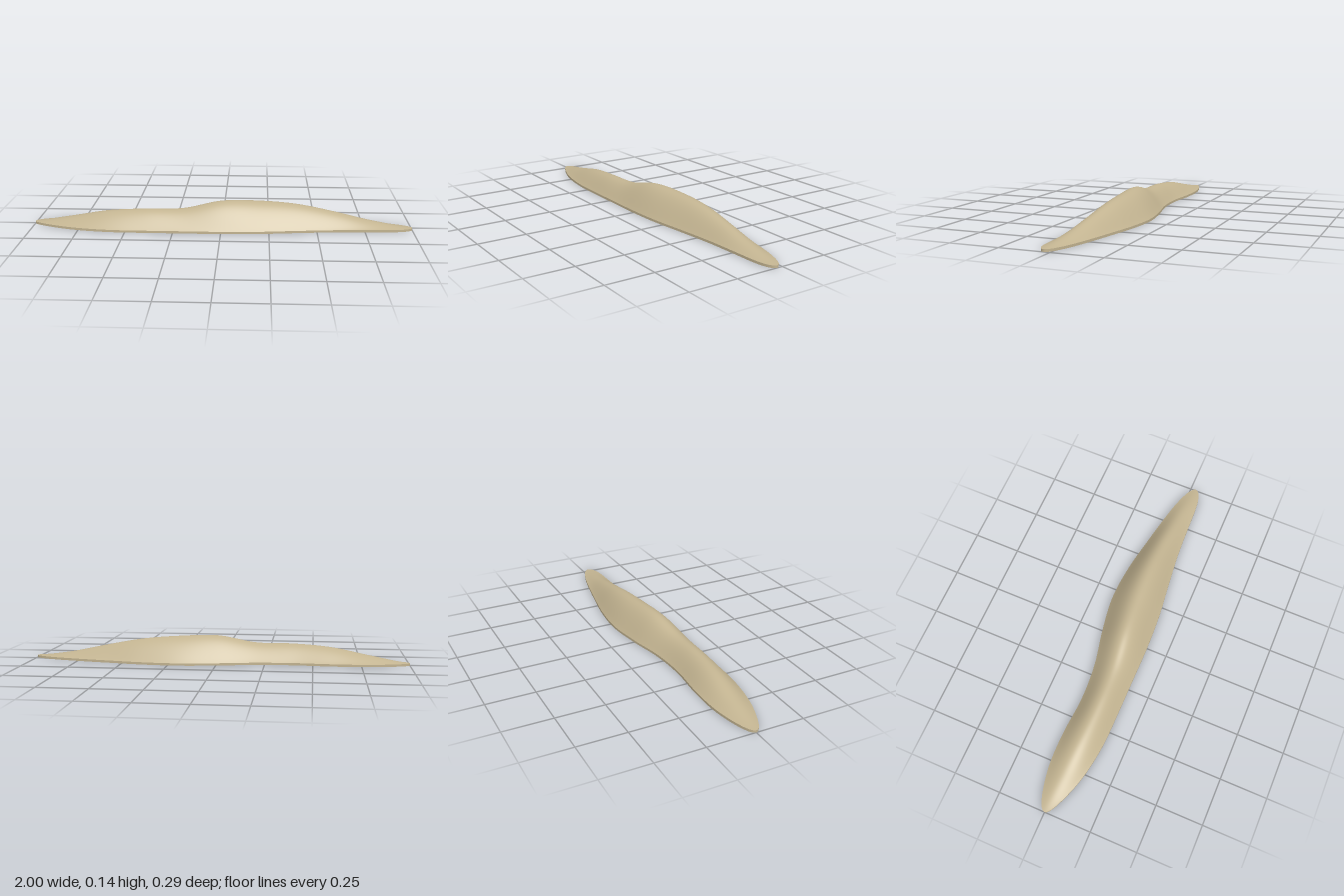
import * as THREE from 'three';

// Stations at equal steps from x = -1 to x = 1
const CENTRE = [0, 0.0125, 0.0265, 0.036, 0.03, 0.01, -0.008, -0.013, -0.0055, 0.01, 0.03];
const WIDTH = [0.125, 0.1425, 0.133, 0.1125, 0.112, 0.13, 0.141, 0.131, 0.1155, 0.1125, 0.125];
const RIDGE = [0, 0.033, 0.071, 0.086, 0.09, 0.127, 0.124, 0.107, 0.07, 0.027, 0];
const RIM = 0.012;
const LENGTH_STEPS = 120;
const CROSS_STEPS = 32;

// Smooth interpolation of station values
function smooth(values) {
  const curve = new THREE.SplineCurve(values.map((v, i) => new THREE.Vector2(i, v)));
  return (x) => curve.getPoint((x + 1) / 2).y;
}

// Grid surface from a rule (u, v) => [x, y, z]
function surface(rule, nu, nv) {
  const positions = [], index = [];
  for (let i = 0; i <= nu; i++) {
    for (let j = 0; j <= nv; j++) positions.push(...rule(i / nu, j / nv));
  }
  for (let i = 0; i < nu; i++) {
    for (let j = 0; j < nv; j++) {
      const a = i * (nv + 1) + j, b = a + nv + 1;
      index.push(a, a + 1, b, b, a + 1, b + 1);
    }
  }
  const geometry = new THREE.BufferGeometry();
  geometry.setAttribute('position', new THREE.Float32BufferAttribute(positions, 3));
  geometry.setIndex(index);
  geometry.computeVertexNormals();
  return geometry;
}

export function createModel() {
  const group = new THREE.Group();
  group.name = 'sandDune';
  const sand = new THREE.MeshStandardMaterial({ color: 0xc3b491 });
  sand.name = 'sand';

  const centre = smooth(CENTRE), width = smooth(WIDTH), ridge = smooth(RIDGE);
  const along = (u) => -Math.cos(Math.PI * u);
  const half = (x) => width(x) * Math.sqrt(Math.max(0, 1 - x * x));
  const add = (name, geometry) => {
    const mesh = new THREE.Mesh(geometry, sand);
    mesh.name = name;
    group.add(mesh);
  };

  // Rounded ridge falling to the rim on both sides
  add('duneTop', surface((u, v) => {
    const x = along(u), t = v * 2 - 1;
    const fall = Math.pow(Math.max(0, Math.cos(t * Math.PI / 2)), 1.08);
    return [x, RIM + ridge(x) * fall, centre(x) + half(x) * t];
  }, LENGTH_STEPS, CROSS_STEPS));

  // Thin upright rim, front and back
  add('frontRim', surface((u, v) => {
    const x = along(u);
    return [x, RIM * (1 - v), centre(x) + half(x)];
  }, LENGTH_STEPS, 1));
  add('backRim', surface((u, v) => {
    const x = along(u);
    return [x, RIM * v, centre(x) - half(x)];
  }, LENGTH_STEPS, 1));

  // Flat underside
  add('underside', surface((u, v) => {
    const x = along(u);
    return [x, 0, centre(x) + half(x) * (1 - 2 * v)];
  }, LENGTH_STEPS, 1));

  return group;
}
